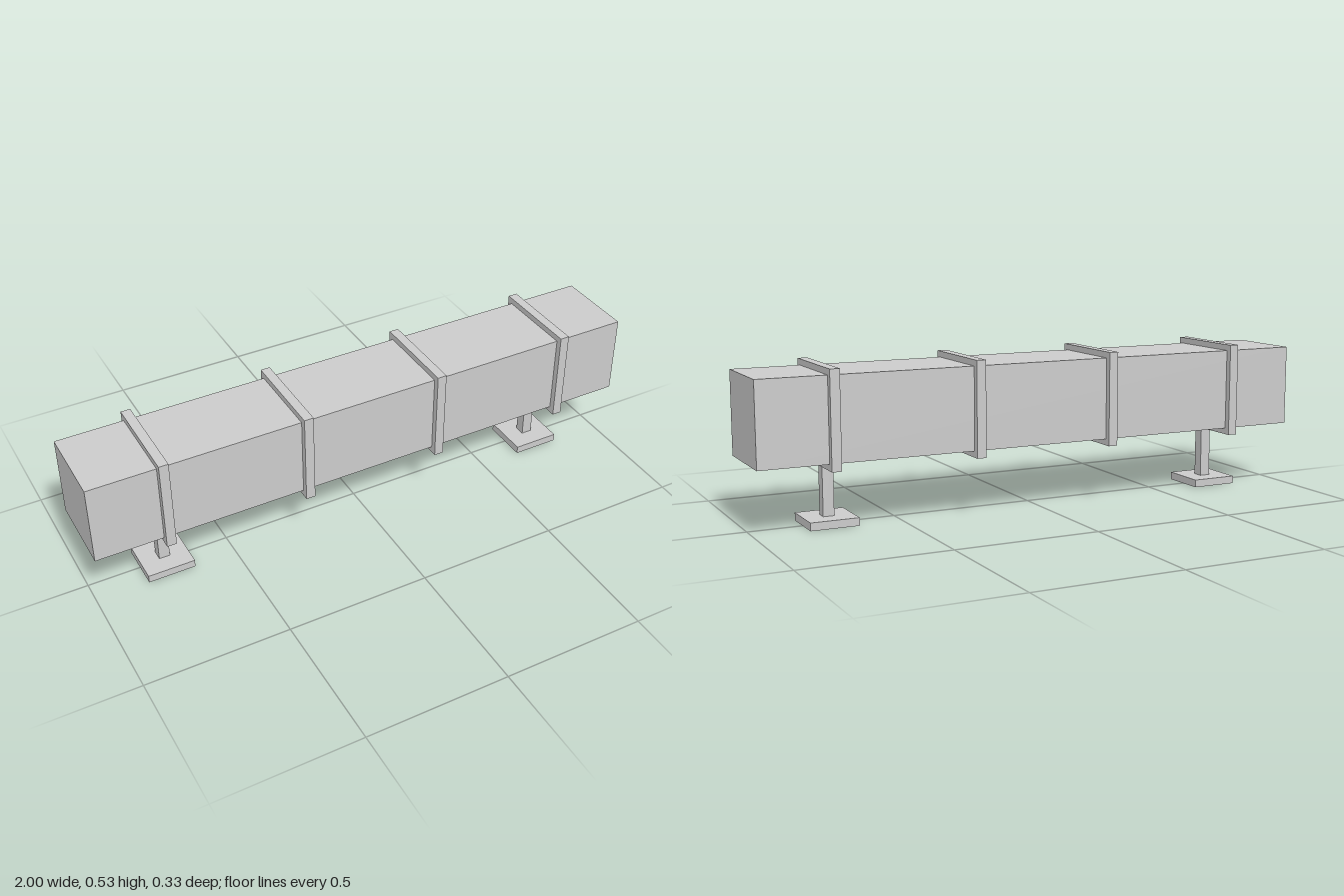
import * as THREE from 'three';

const material = new THREE.MeshStandardMaterial({ color: 0xcccccc, flatShading: true });

// Box centred on x and z = 0, spanning y0 to y1
function box(name, width, y0, y1, depth, x = 0) {
  const mesh = new THREE.Mesh(new THREE.BoxGeometry(width, y1 - y0, depth), material);
  mesh.name = name;
  mesh.position.set(x, (y0 + y1) / 2, 0);
  return mesh;
}

export function createModel() {
  const model = new THREE.Group();
  model.name = 'duct';

  // Long square duct
  model.add(box('ductBody', 2, 0.223, 0.506, 0.284));

  // Joint flanges around the duct
  for (const x of [-0.75, -0.25, 0.25, 0.75]) {
    model.add(box('flange', 0.033, 0.201, 0.527, 0.327, x));
  }

  // Support posts standing on foot plates
  for (const side of [-1, 1]) {
    const support = new THREE.Group();
    support.name = side > 0 ? 'leftSupport' : 'rightSupport';
    support.position.x = side * 0.733;
    support.add(box('post', 0.038, 0.027, 0.223, 0.038));
    support.add(box('footPlate', 0.166, 0, 0.027, 0.166));
    model.add(support);
  }

  return model;
}
